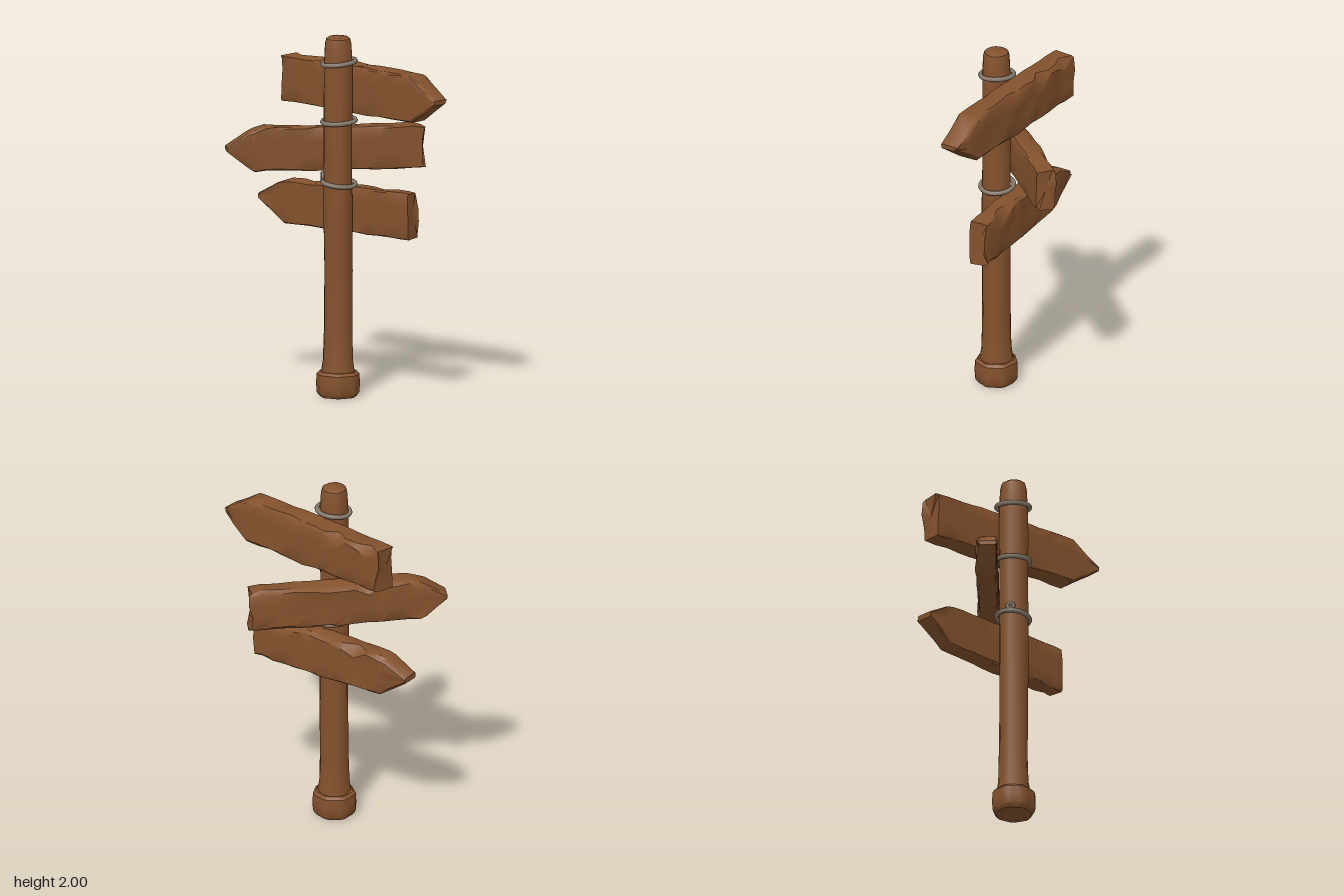
import * as THREE from 'three';
import { toCreasedNormals, mergeVertices } from 'three/addons/utils/BufferGeometryUtils.js';

const wood = new THREE.MeshStandardMaterial({ color: 0x84522d });
wood.name = 'brown wood';
const rope = new THREE.MeshStandardMaterial({ color: 0x857a6c });
rope.name = 'grey rope';

const POST_X = -0.025, POST_Z = 0.092;

function seeded(seed) {
  return () => {
    seed = (seed * 16807) % 2147483647;
    return seed / 2147483647;
  };
}

function mesh(name, geometry, material) {
  const m = new THREE.Mesh(geometry, material);
  m.name = name;
  return m;
}

// Move every vertex by a rule and rebuild the normals
function reshape(geometry, rule, crease = 0.7) {
  geometry.deleteAttribute('uv');
  geometry.deleteAttribute('normal');
  const g = mergeVertices(geometry, 1e-4);
  const p = g.attributes.position, v = new THREE.Vector3();
  for (let i = 0; i < p.count; i++) {
    v.fromBufferAttribute(p, i);
    rule(v);
    p.setXYZ(i, v.x, v.y, v.z);
  }
  return toCreasedNormals(g, crease);
}

// Weathered plank lofted along x; stations are [x, top, bottom, back, front]
function plank(name, stations, angle, seed, chips) {
  const rand = seeded(seed);
  const jitter = (s) => (rand() - 0.5) * s;

  // Add in-between stations so the edges can be worn
  const rows = [];
  stations.forEach((s, i) => {
    rows.push(s);
    const next = stations[i + 1];
    if (!next) return;
    const n = Math.floor((next[0] - s[0]) / 0.075);
    for (let k = 1; k < n; k++) rows.push(s.map((a, j) => a + (next[j] - a) * k / n));
  });

  const pos = [], index = [], N = 12;
  rows.forEach(([x, top, bottom, back, front], i) => {
    const h = top - bottom;
    const end = i === 0 || i === rows.length - 1;
    const blunt = end && h > 0.1;
    const chip = chips.includes(i) ? 0.035 : 0;
    const c = Math.min(0.008, h * 0.2);
    const ct = Math.min(0.012 + rand() * 0.012 + chip, h * 0.3);
    const cb = Math.min(0.01 + rand() * 0.012, h * 0.3);
    // Section loop as [z, y]: up the front, over the top, down the back
    const loop = [
      [front - c, bottom], [front, bottom + c], [front, bottom + h * 0.35], [front, bottom + h * 0.7],
      [front, top - c], [front - c, top],
      [back + ct, top], [back, top - ct], [back, bottom + h * 0.65], [back, bottom + h * 0.35],
      [back, bottom + cb], [back + cb, bottom],
    ];
    loop.forEach(([z, y], j) => {
      const rough = j > 5 ? 0.014 : 0.004;
      pos.push(x + (blunt ? jitter(0.03) : 0), y + jitter(h > 0.1 ? 0.008 : 0.002), z + jitter(rough));
    });
  });
  for (let i = 0; i < rows.length - 1; i++) {
    for (let j = 0; j < N; j++) {
      const a = i * N + j, b = i * N + (j + 1) % N;
      index.push(a, a + N, b + N, a, b + N, b);
    }
  }
  // End caps
  [0, rows.length - 1].forEach((r, e) => {
    const [x, top, bottom, back, front] = rows[r];
    const centre = pos.length / 3;
    pos.push(x, (top + bottom) / 2, (back + front) / 2);
    for (let j = 0; j < N; j++) {
      const a = r * N + j, b = r * N + (j + 1) % N;
      if (e) index.push(centre, b, a);
      else index.push(centre, a, b);
    }
  });
  const g = new THREE.BufferGeometry();
  g.setAttribute('position', new THREE.Float32BufferAttribute(pos, 3));
  g.setIndex(index);
  const board = mesh(name, toCreasedNormals(g, 0.75), wood);
  board.rotation.y = THREE.MathUtils.degToRad(angle);
  return board;
}

// Loop of rope around the post, leaning sideways
function ropeRing(name, y, lean) {
  const g = new THREE.TorusGeometry(0.092, 0.013, 7, 20);
  g.rotateX(Math.PI / 2);
  const ring = mesh(name, g, rope);
  ring.position.set(POST_X + 0.003, y, POST_Z - 0.005);
  ring.rotation.set(0.06, 0, lean);
  return ring;
}

export function createModel() {
  const model = new THREE.Group();
  model.name = 'signpost';

  // Post: gently uneven round timber with a worn top
  const profile = [
    [0, 0.05], [0.094, 0.06], [0.092, 0.14], [0.083, 0.2], [0.079, 0.35], [0.078, 0.7], [0.08, 1.05],
    [0.078, 1.4], [0.08, 1.7], [0.078, 1.86], [0.073, 1.96], [0.066, 1.99], [0.052, 2], [0, 2],
  ].map(([r, y]) => new THREE.Vector2(r, y));
  const post = mesh('post', reshape(new THREE.LatheGeometry(profile, 14), (v) => {
    const a = Math.atan2(v.z, v.x);
    const k = 1 + 0.025 * Math.sin(3 * a + v.y * 4) + 0.015 * Math.cos(5 * a - v.y * 7);
    v.x *= k;
    v.z *= k;
  }), wood);
  post.position.set(POST_X, 0, POST_Z);
  model.add(post);

  // Foot: lobed collar of wood around the bottom
  const footProfile = [[0, 0], [0.1, 0], [0.115, 0.02], [0.118, 0.07], [0.115, 0.125], [0.1, 0.14], [0.06, 0.14]]
    .map(([r, y]) => new THREE.Vector2(r, y));
  const foot = mesh('foot', reshape(new THREE.LatheGeometry(footProfile, 28), (v) => {
    const a = Math.atan2(v.z, v.x);
    const groove = Math.pow(Math.abs(Math.cos(3.5 * a + 0.4)), 8);
    const k = 1.02 - 0.1 * groove + 0.015 * Math.sin(2 * a + 1);
    v.x *= k;
    v.z *= k;
  }, 0.6), wood);
  foot.position.set(POST_X, 0, POST_Z);
  model.add(foot);

  // Three arrow boards
  model.add(plank('topArrowBoard', [
    [-0.465, 1.825, 1.575, -0.1, 0.03], [0, 1.83, 1.57, -0.102, 0.03], [0.49, 1.83, 1.57, -0.098, 0.03],
    [0.58, 1.77, 1.63, -0.09, 0.03], [0.667, 1.712, 1.688, -0.066, 0.03],
  ], -23, 11, [1, 4]));
  model.add(plank('middleArrowBoard', [
    [-0.663, 1.377, 1.353, -0.11, -0.014], [-0.545, 1.455, 1.262, -0.128, -0.014],
    [-0.51, 1.468, 1.24, -0.128, -0.014], [-0.45, 1.485, 1.245, -0.126, -0.014],
    [0, 1.475, 1.24, -0.126, -0.012], [0.36, 1.48, 1.24, -0.122, -0.012], [0.422, 1.47, 1.24, -0.115, -0.012],
  ], 27, 37, [6]));
  model.add(plank('bottomArrowBoard', [
    [-0.582, 1.055, 1.025, -0.065, 0.039], [-0.45, 1.13, 0.935, -0.07, 0.039],
    [-0.41, 1.143, 0.905, -0.072, 0.039], [0, 1.155, 0.905, -0.075, 0.039],
    [0.38, 1.163, 0.905, -0.066, 0.039], [0.43, 1.16, 0.908, -0.06, 0.039],
  ], -17, 71, [4, 10]));

  // Rope bindings with a small knot on the lowest
  model.add(ropeRing('topRope', 1.857, 0.1));
  model.add(ropeRing('middleRope', 1.53, 0.05));
  model.add(ropeRing('bottomRope', 1.187, -0.12));
  const knot = mesh('ropeKnot', new THREE.TorusGeometry(0.018, 0.01, 6, 10), rope);
  knot.position.set(-0.108, 1.222, 0.115);
  knot.rotation.y = -1.2;
  model.add(knot);

  return model;
}
